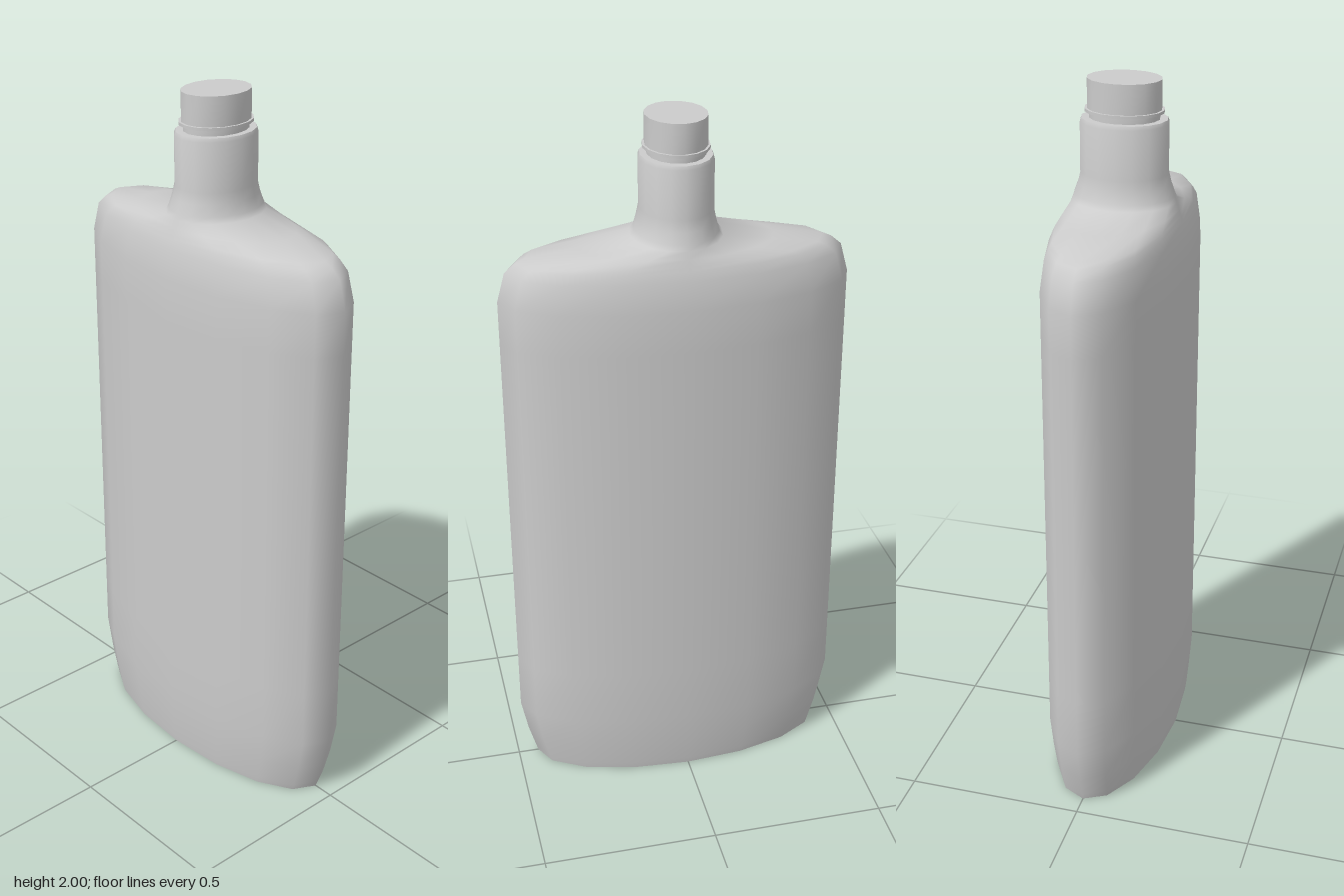
import * as THREE from 'three';
import { toCreasedNormals } from 'three/addons/utils/BufferGeometryUtils.js';

const SIDES = 16;

// Stack of elliptical rings [y, half width x, half depth z]; zero radius closes an end
function loft(name, rings) {
  const pos = [], index = [];
  for (const [y, rx, rz] of rings) {
    for (let s = 0; s < SIDES; s++) {
      const a = (s / SIDES) * Math.PI * 2;
      pos.push(rx * Math.sin(a), y, rz * Math.cos(a));
    }
  }
  for (let r = 0; r < rings.length - 1; r++) {
    for (let s = 0; s < SIDES; s++) {
      const t = (s + 1) % SIDES;
      const a = r * SIDES + s, b = r * SIDES + t;
      const c = b + SIDES, d = a + SIDES;
      if (rings[r][1] > 0) index.push(a, b, c);
      if (rings[r + 1][1] > 0) index.push(a, c, d);
      else index[index.length - 1] = d;
    }
  }
  const geo = new THREE.BufferGeometry();
  geo.setAttribute('position', new THREE.Float32BufferAttribute(pos, 3));
  geo.setIndex(index);
  const mesh = new THREE.Mesh(
    toCreasedNormals(geo, 1.08),
    new THREE.MeshStandardMaterial({ color: 0xcccccc })
  );
  mesh.name = name;
  return mesh;
}

export function createModel() {
  const group = new THREE.Group();
  group.name = 'flaskBottle';

  // Flat oval body, sloping shoulders and neck
  group.add(loft('bottleBody', [
    [0, 0, 0],
    [0, 0.44, 0.165],
    [0.02, 0.446, 0.168],
    [0.09, 0.466, 0.174],
    [0.19, 0.486, 0.181],
    [0.36, 0.486, 0.181],
    [1.4, 0.486, 0.181],
    [1.52, 0.486, 0.181],
    [1.6, 0.464, 0.17],
    [1.625, 0.435, 0.161],
    [1.636, 0.41, 0.157],
    [1.655, 0.27, 0.151],
    [1.675, 0.125, 0.144],
    [1.69, 0.114, 0.139],
    [1.72, 0.106, 0.128],
    [1.75, 0.1, 0.121],
    [1.885, 0.1, 0.121],
    [1.895, 0.096, 0.117],
    [1.895, 0, 0],
  ]));

  // Thin collar between neck and cap
  group.add(loft('neckCollar', [
    [1.89, 0.078, 0.096],
    [1.912, 0.078, 0.096],
    [1.912, 0.089, 0.108],
    [1.92, 0.089, 0.108],
    [1.92, 0, 0],
  ]));

  // Plain cap
  group.add(loft('cap', [
    [1.915, 0.083, 0.101],
    [2, 0.083, 0.101],
    [2, 0, 0],
  ]));

  return group;
}
